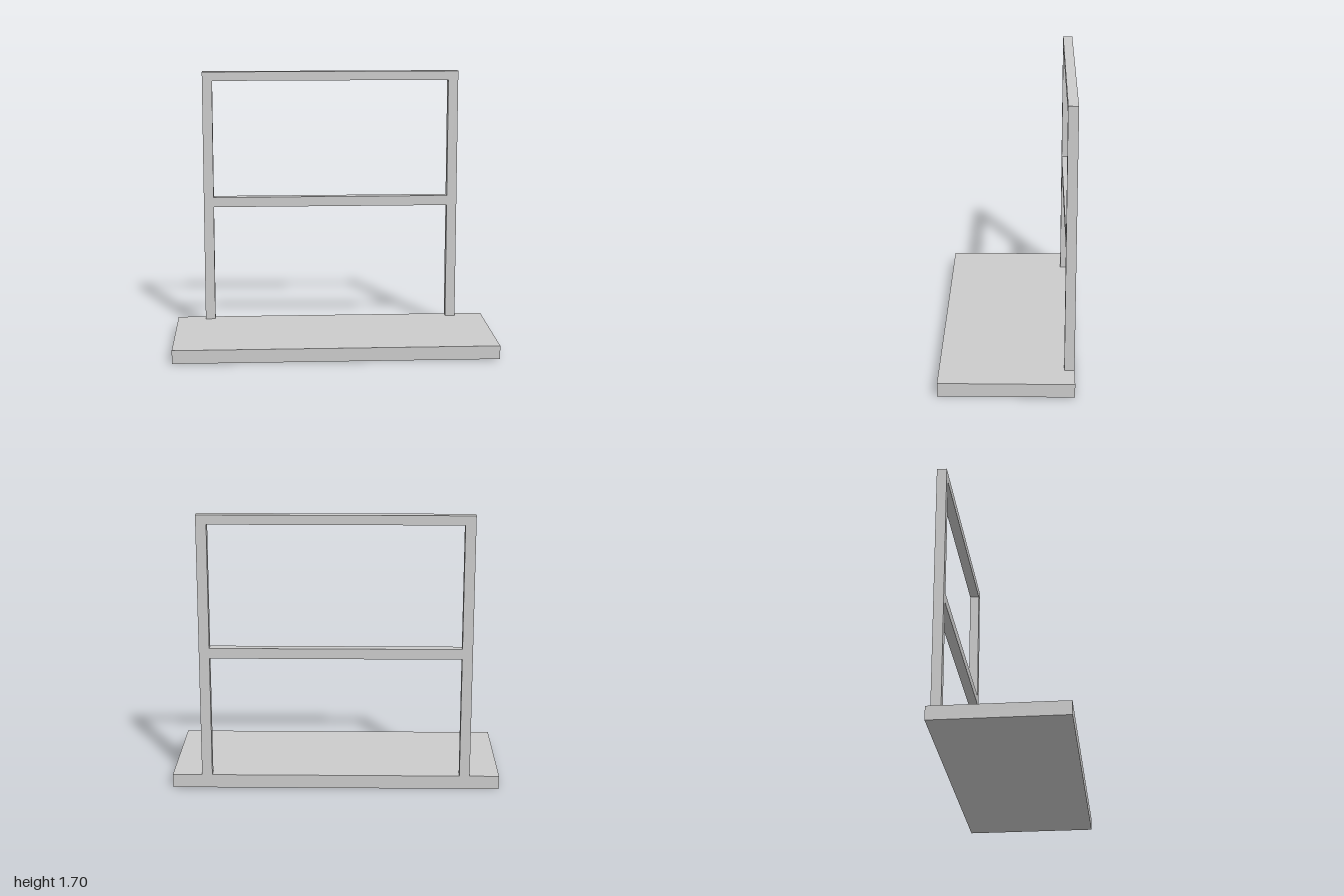
import * as THREE from 'three';

const BASE_H = 0.083;
const HALF_W = 0.82;   // outer half width of the frame
const INNER_W = 0.757; // half width between the posts
const TOP = 1.70;
const DEPTH = 0.06;

export function createModel() {
  const group = new THREE.Group();
  const material = new THREE.MeshStandardMaterial({ color: 0xcccccc, flatShading: true });

  // Flat slab the frame stands on
  const base = new THREE.Mesh(new THREE.BoxGeometry(2, BASE_H, 0.8), material);
  base.name = 'base';
  base.position.y = BASE_H / 2;
  group.add(base);

  // Two posts joined by a middle rail and a top rail, open at the bottom
  const outline = new THREE.Shape([
    [-HALF_W, BASE_H], [-INNER_W, BASE_H], [-INNER_W, 0.827], [INNER_W, 0.827],
    [INNER_W, BASE_H], [HALF_W, BASE_H], [HALF_W, TOP], [-HALF_W, TOP],
  ].map(([x, y]) => new THREE.Vector2(x, y)));

  // Upper opening between the rails
  outline.holes.push(new THREE.Path([
    [-INNER_W, 0.89], [-INNER_W, 1.643], [INNER_W, 1.643], [INNER_W, 0.89],
  ].map(([x, y]) => new THREE.Vector2(x, y))));

  const frame = new THREE.Mesh(
    new THREE.ExtrudeGeometry(outline, { depth: DEPTH, bevelEnabled: false }), material);
  frame.name = 'uprightFrame';
  frame.position.z = -0.4;
  group.add(frame);

  return group;
}
